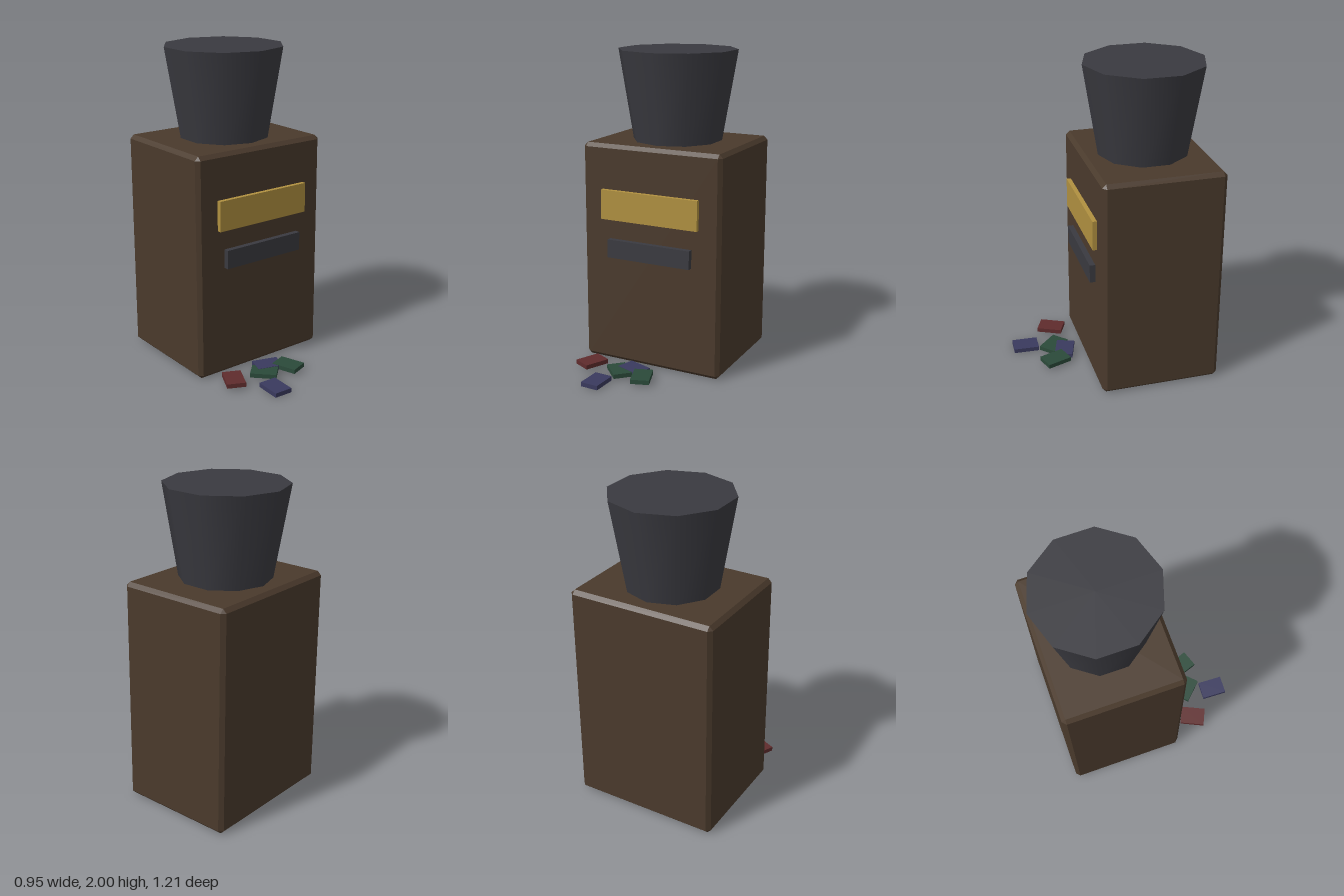
import * as THREE from 'three';
import { ConvexGeometry } from 'three/addons/geometries/ConvexGeometry.js';

function material(name, color) {
  const m = new THREE.MeshStandardMaterial({ color });
  m.name = name;
  return m;
}

// Box with every edge cut at 45 degrees
function chamferedBox(w, h, d, c) {
  const points = [];
  for (const sx of [-1, 1]) for (const sy of [-1, 1]) for (const sz of [-1, 1]) {
    const x = w / 2, y = h / 2, z = d / 2;
    points.push(
      new THREE.Vector3(sx * x, sy * (y - c), sz * (z - c)),
      new THREE.Vector3(sx * (x - c), sy * y, sz * (z - c)),
      new THREE.Vector3(sx * (x - c), sy * (y - c), sz * z)
    );
  }
  return new ConvexGeometry(points);
}

export function createModel() {
  const group = new THREE.Group();
  const brown = material('brown wood', 0x4a3a2c);
  const grey = material('dark metal', 0x3a3a40);
  const gold = material('brass', 0xb09040);
  const red = material('red', 0x5f2c2d);
  const blue = material('blue', 0x3a3a5e);
  const green = material('green', 0x2b4a3a);

  function add(name, geometry, mat, x, y, z, turn = 0) {
    const mesh = new THREE.Mesh(geometry, mat);
    mesh.name = name;
    mesh.position.set(x, y, z);
    mesh.rotation.y = turn;
    group.add(mesh);
  }

  // Cabinet with a ten-sided hopper on top
  add('cabinet', chamferedBox(0.95, 1.425, 0.76, 0.024), brown, 0, 0.717, -0.23);
  add('hopper', new THREE.CylinderGeometry(0.38, 0.285, 0.572, 10), grey, 0, 1.714, -0.23);

  // Front fittings
  add('namePlate', new THREE.BoxGeometry(0.665, 0.19, 0.04), gold, 0, 1.05, 0.158);
  add('slot', new THREE.BoxGeometry(0.57, 0.118, 0.05), grey, 0, 0.769, 0.16);

  // Loose booklets on the floor: colour, x, y, z, turn
  const booklet = new THREE.BoxGeometry(0.118, 0.028, 0.165);
  const booklets = [
    [red, -0.337, 0.036, 0.31, -0.437],
    [blue, -0.18, 0.018, 0.52, -0.042],
    [green, -0.12, 0.029, 0.338, 0.78],
    [blue, -0.047, 0.031, 0.28, 1.26],
    [green, 0.053, 0.033, 0.364, 0.33],
  ];
  booklets.forEach(([mat, x, y, z, turn], i) => add('booklet' + (i + 1), booklet, mat, x, y, z, turn));

  return group;
}
